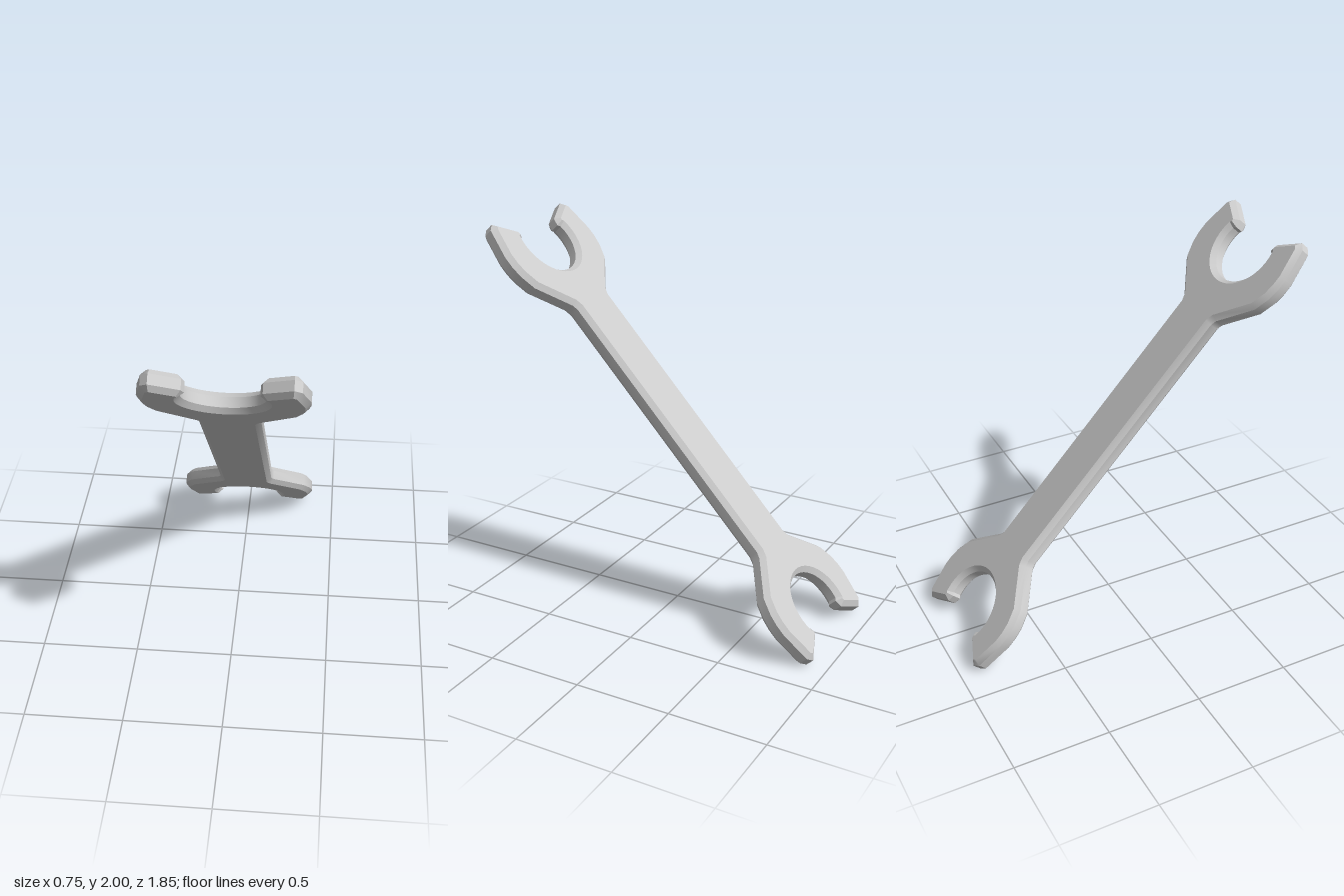
import * as THREE from 'three';
import { toCreasedNormals } from 'three/addons/utils/BufferGeometryUtils.js';

const TILT = 0.745;       // lean of the tool, toward the front at the top
const THICKNESS = 0.098;
const BEVEL = 0.025;

// Outline of a jaw's right half, from the neck up round the prong and down to the throat
function halfJaw() {
  const points = [
    [0.145, 0.76], [0.158, 0.79],                                // neck
    [0.33, 0.95], [0.365, 1.03], [0.376, 1.09], [0.376, 1.15],   // outer cheek
    [0.34, 1.31], [0.305, 1.338],                                // prong tip
    [0.172, 1.265], [0.161, 1.225],                              // inner lip
  ];
  const steps = 12, start = Math.PI / 12, end = -Math.PI / 2;
  for (let i = 0; i <= steps; i++) {
    const a = start + (end - start) * i / steps;
    points.push([0.185 * Math.cos(a), 1.165 + 0.185 * Math.sin(a)]);
  }
  return points.map(([x, y]) => new THREE.Vector2(x, y));
}

// Both jaws: mirror the half left to right, then turn the whole end by half a turn
function wrenchShape() {
  const right = halfJaw();
  const left = right.slice(0, -1).reverse().map(p => new THREE.Vector2(-p.x, p.y));
  const top = [...right, ...left];
  const bottom = top.map(p => new THREE.Vector2(-p.x, -p.y));
  return new THREE.Shape([...top, ...bottom]);
}

export function createModel() {
  const group = new THREE.Group();
  group.name = 'openEndWrench';

  // Flat forged body with a chamfer all round
  const depth = THICKNESS - 2 * BEVEL;
  const body = new THREE.ExtrudeGeometry(wrenchShape(), {
    depth,
    bevelEnabled: true,
    bevelThickness: BEVEL,
    bevelSize: BEVEL,
    bevelOffset: -BEVEL,
    bevelSegments: 1,
  });
  body.translate(0, 0, -depth / 2);

  const mesh = new THREE.Mesh(
    toCreasedNormals(body, Math.PI / 6),
    new THREE.MeshStandardMaterial({ color: 0xcccccc })
  );
  mesh.name = 'wrenchBody';
  mesh.rotation.x = TILT;
  mesh.position.y = 1;
  group.add(mesh);
  return group;
}
